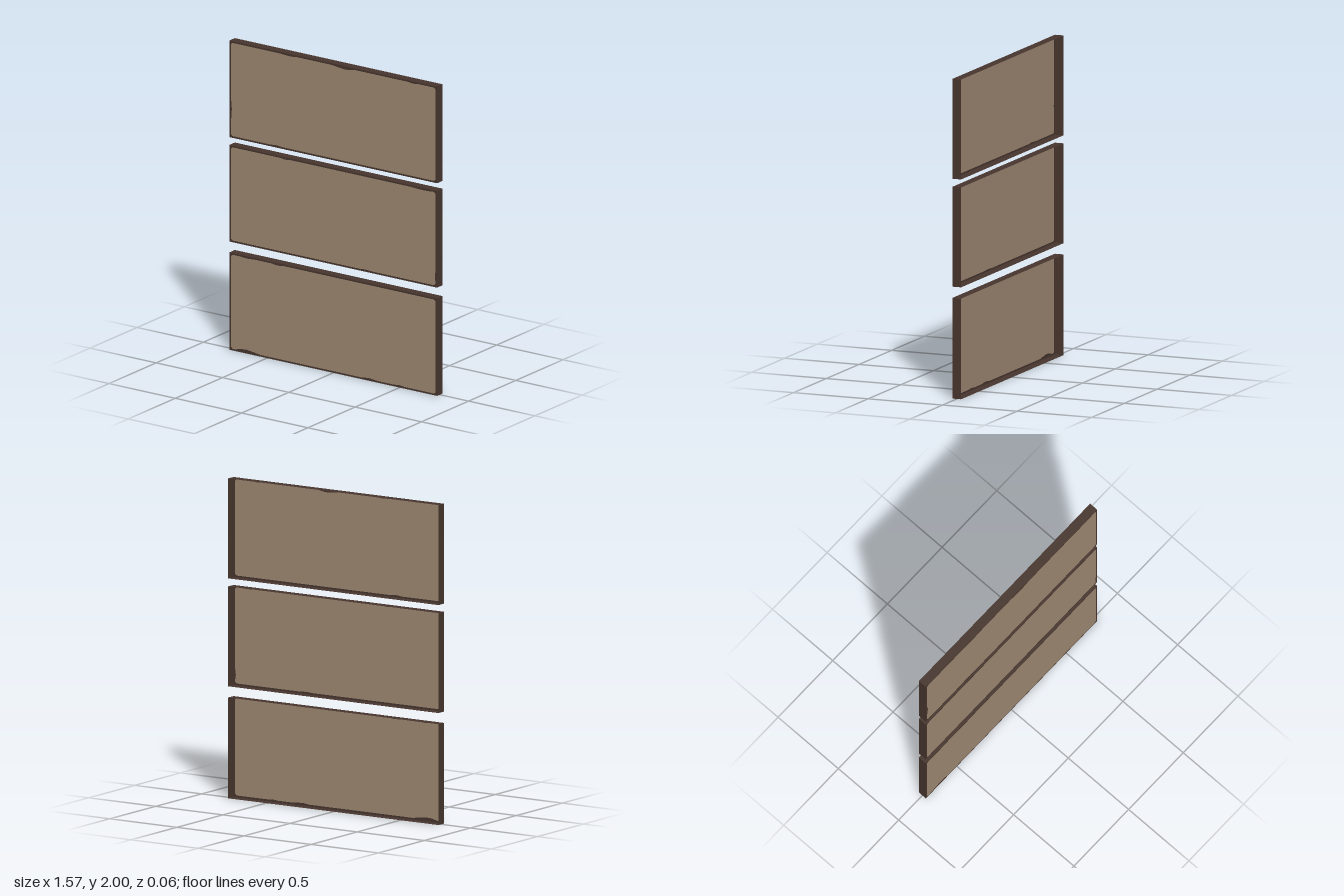
import * as THREE from 'three';

const W = 0.783, Z = 0.029, RIM = 0.011, CUT = 0.012;

// Each panel: bottom, top and worn spots [from, to, depth] along its inner edges,
// listed anticlockwise (bottom to +x, right upwards, top to -x, left downwards).
const PANELS = [
  { name: 'lowerPanel', y0: 0, y1: 0.63, worn: {
    bottom: [[-0.74, -0.55, 0.014], [0.22, 0.34, 0.006], [0.46, 0.54, 0.004]],
    right: [], top: [[-0.38, -0.47, 0.005], [-0.6, -0.71, 0.004]], left: [] } },
  { name: 'middlePanel', y0: 0.7, y1: 1.325, worn: {
    bottom: [[0.2, 0.3, 0.003]], right: [[0.73, 0.81, 0.006]],
    top: [[0.75, 0.58, 0.004], [-0.33, -0.4, 0.004]], left: [] } },
  { name: 'upperPanel', y0: 1.375, y1: 2, worn: {
    bottom: [[-0.47, -0.38, 0.004]], right: [],
    top: [[0.64, 0.56, 0.004], [0.16, -0.01, 0.011], [-0.28, -0.4, 0.005]],
    left: [[1.63, 1.47, 0.007]] } },
];

// Outline of the pale face: a rectangle with clipped corners and worn edges
function faceOutline({ y0, y1, worn }) {
  const x = W - RIM, b = y0 + RIM, t = y1 - RIM, pts = [];
  const edge = (list, place) => list.forEach(([s, e, d]) =>
    [[0, 0], [0.25, 0.8], [0.45, 1], [0.7, 0.6], [1, 0]].forEach(([u, h]) =>
      pts.push(place(s + (e - s) * u, d * h))));
  const corner = (ax, ay, bx, by) => pts.push(new THREE.Vector2(ax, ay), new THREE.Vector2(bx, by));
  corner(-x, b + CUT, -x + CUT, b);
  edge(worn.bottom, (p, d) => new THREE.Vector2(p, b + d));
  corner(x - CUT, b, x, b + CUT);
  edge(worn.right, (p, d) => new THREE.Vector2(x - d, p));
  corner(x, t - CUT, x - CUT, t);
  edge(worn.top, (p, d) => new THREE.Vector2(p, t - d));
  corner(-x + CUT, t, -x, t - CUT);
  edge(worn.left, (p, d) => new THREE.Vector2(-x + d, p));
  return pts;
}

export function createModel() {
  const tan = new THREE.MeshStandardMaterial({ color: 0x9d8771, side: THREE.DoubleSide });
  tan.name = 'tanBoard';
  const brown = new THREE.MeshStandardMaterial({ color: 0x46352d, side: THREE.DoubleSide });
  brown.name = 'darkBrownEdge';

  const model = new THREE.Group();
  model.name = 'threePanelBoard';

  for (const panel of PANELS) {
    const { name, y0, y1 } = panel;
    const group = new THREE.Group();
    group.name = name;
    const add = (part, geometry, material, x, y, z) => {
      const mesh = new THREE.Mesh(geometry, material);
      mesh.name = part;
      mesh.position.set(x, y, z);
      group.add(mesh);
      return mesh;
    };

    // Front face and the worn dark rim around it, in one plane
    const outline = faceOutline(panel);
    add('frontFace', new THREE.ShapeGeometry(new THREE.Shape(outline)), tan, 0, 0, Z);
    const rim = new THREE.Shape([[-W, y0], [W, y0], [W, y1], [-W, y1]].map(p => new THREE.Vector2(...p)));
    rim.holes.push(new THREE.Path(outline));
    add('frontRim', new THREE.ShapeGeometry(rim), brown, 0, 0, Z);

    // Thin side walls; the back is open
    const h = y1 - y0;
    for (const s of [-1, 1]) {
      add(s > 0 ? 'leftWall' : 'rightWall', new THREE.PlaneGeometry(2 * Z, h), brown, s * W, y0 + h / 2, 0)
        .rotation.y = s * Math.PI / 2;
      add(s > 0 ? 'topWall' : 'bottomWall', new THREE.PlaneGeometry(2 * W, 2 * Z), brown, 0, s > 0 ? y1 : y0, 0)
        .rotation.x = -s * Math.PI / 2;
    }
    model.add(group);
  }
  return model;
}
